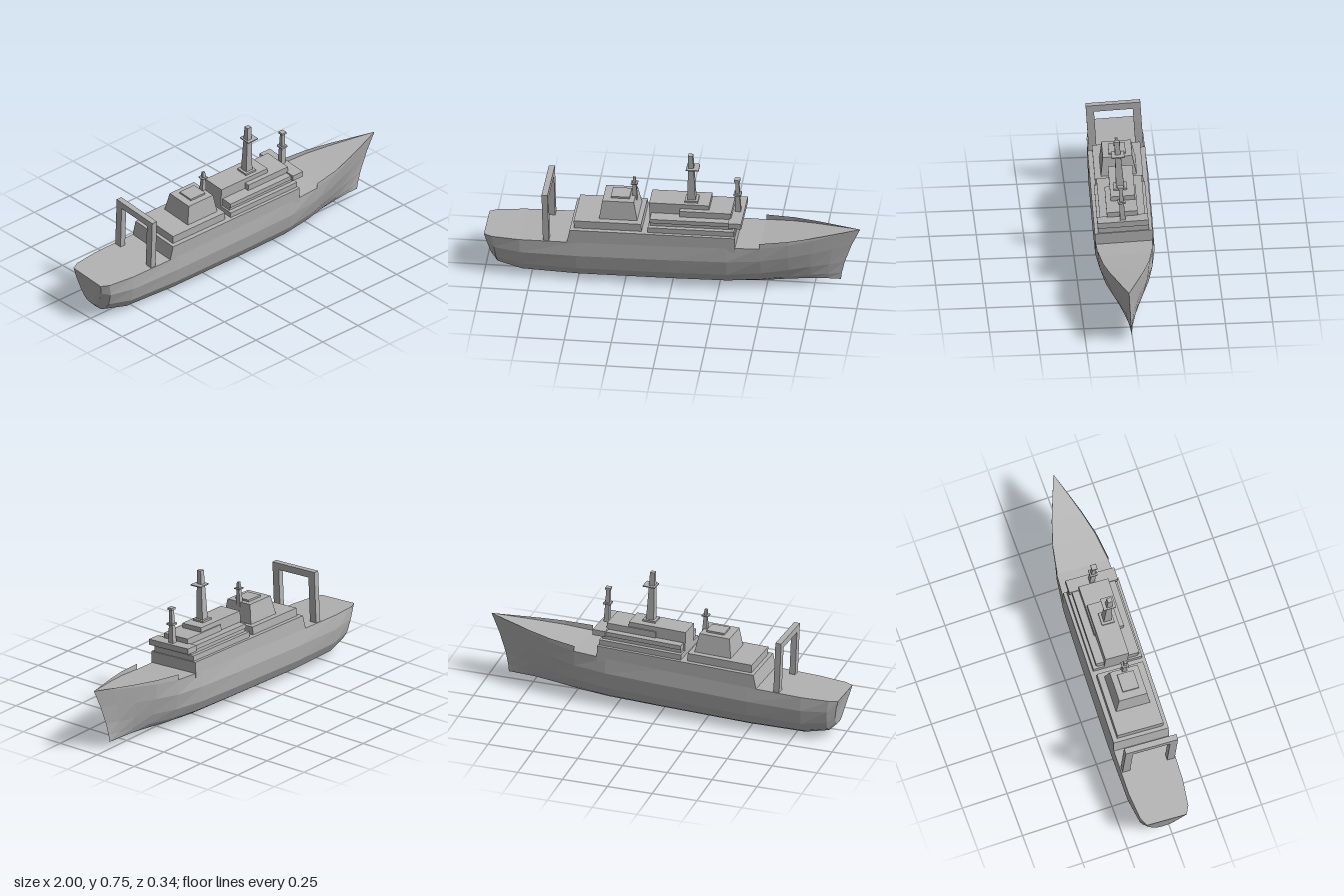
import * as THREE from 'three';

const grey = new THREE.MeshStandardMaterial({ color: 0xb2b2b2, flatShading: true, side: THREE.DoubleSide });
grey.name = 'hull grey';

// Hull stations: x at deck, x at keel, keel y, deck y, lower width scale, upper width scale
const STATIONS = [
  [-0.995, -0.965, 0.075, 0.25, 0.45, 0.72],
  [-0.95, -0.93, 0.038, 0.25, 0.7, 0.87],
  [-0.8, -0.8, 0.008, 0.25, 0.9, 0.98],
  [-0.5, -0.5, 0, 0.252, 1, 1],
  [0, 0, 0, 0.258, 1, 1],
  [0.3, 0.3, 0, 0.264, 0.95, 1],
  [0.48, 0.48, 0.003, 0.267, 0.7, 0.94],
  [0.63, 0.62, 0.008, 0.282, 0.42, 0.79],
  [0.76, 0.73, 0.01, 0.297, 0.22, 0.55],
  [0.88, 0.82, 0.01, 0.312, 0.09, 0.28],
  [1.0, 0.89, 0.01, 0.328, 0, 0],
];
// Midship half section: half breadth, height fraction
const SECTION = [[0, 0], [0.065, 0.02], [0.11, 0.12], [0.145, 0.34], [0.16, 0.68], [0.153, 1]];

function stationRing([xd, xk, yk, yd, low, high]) {
  const half = SECTION.map(([b, t]) => [
    xk + (xd - xk) * t ** 1.5,
    yk + (yd - yk) * t,
    b * (low + (high - low) * t),
  ]);
  const port = half.slice(1).map(([x, y, z]) => [x, y, -z]);
  return [...half.reverse(), ...port];
}

function meshFrom(points, index, name) {
  const g = new THREE.BufferGeometry();
  g.setAttribute('position', new THREE.Float32BufferAttribute(points.flat(), 3));
  g.setIndex(index);
  g.computeVertexNormals();
  const mesh = new THREE.Mesh(g, grey);
  mesh.name = name;
  return mesh;
}

// Lofted hull, closed by its deck and transom
function hull() {
  const rings = STATIONS.map(stationRing);
  const n = rings[0].length;
  const index = [];
  for (let i = 0; i < rings.length - 1; i++) {
    for (let j = 0; j < n; j++) {
      const k = (j + 1) % n;
      const a = i * n + j, b = a + n, d = i * n + k, c = d + n;
      index.push(a, d, b, d, c, b);
    }
  }
  for (let j = 1; j < n - 1; j++) index.push(0, j + 1, j);
  return meshFrom(rings.flat(), index, 'hull');
}

// Raised plating along one side of the bow, tapering to the tip
function bulwark(side) {
  const points = [], index = [];
  STATIONS.slice(6).forEach(([x, , , y, , w], i, all) => {
    const z = side * 0.153 * w;
    points.push([x, y, z], [x, y + 0.03 * (1 - i / (all.length - 1)), z]);
    if (i) index.push(2 * i - 2, 2 * i, 2 * i - 1, 2 * i, 2 * i + 1, 2 * i - 1);
  });
  return meshFrom(points, index, side > 0 ? 'bulwarkFront' : 'bulwarkBack');
}

// Box given by its x, y and z ranges, with the top scaled for a taper
function block(name, [x0, x1], [y0, y1], [z0, z1], taperX = 1, taperZ = taperX) {
  const g = new THREE.BoxGeometry(x1 - x0, y1 - y0, z1 - z0);
  const p = g.attributes.position;
  for (let i = 0; i < p.count; i++) {
    if (p.getY(i) > 0) p.setXYZ(i, p.getX(i) * taperX, p.getY(i), p.getZ(i) * taperZ);
  }
  g.computeVertexNormals();
  const mesh = new THREE.Mesh(g, grey);
  mesh.position.set((x0 + x1) / 2, (y0 + y1) / 2, (z0 + z1) / 2);
  mesh.name = name;
  return mesh;
}

// Tapered square mast with flat platforms: [height, half width, thickness, x shift]
function mast(name, x, y0, y1, r, taper, platforms) {
  const group = new THREE.Group();
  group.name = name;
  group.add(block('pole', [x - r, x + r], [y0, y1], [-r, r], taper));
  for (const [y, h, t, dx = 0] of platforms) {
    group.add(block('platform', [x + dx - h, x + dx + h], [y - t / 2, y + t / 2], [-h, h]));
  }
  return group;
}

// Flat outline in x and y, extruded across the ship
function midBlock() {
  const s = new THREE.Shape();
  s.moveTo(-0.55, 0.24);
  s.lineTo(0.35, 0.24);
  s.lineTo(0.35, 0.328);
  s.lineTo(-0.53, 0.328);
  const g = new THREE.ExtrudeGeometry(s, { depth: 0.306, bevelEnabled: false });
  const mesh = new THREE.Mesh(g.translate(0, 0, -0.153), grey);
  mesh.name = 'mainDeckhouse';
  return mesh;
}

// Lifting frame over the aft deck
function sternFrame() {
  const s = new THREE.Shape();
  [[-0.145, 0.24], [-0.103, 0.24], [-0.103, 0.498], [0.103, 0.498],
    [0.103, 0.24], [0.145, 0.24], [0.145, 0.535], [-0.145, 0.535]]
    .forEach(([z, y], i) => (i ? s.lineTo(z, y) : s.moveTo(z, y)));
  const g = new THREE.ExtrudeGeometry(s, { depth: 0.032, bevelEnabled: false });
  g.rotateY(Math.PI / 2).translate(-0.675, 0, 0);
  const mesh = new THREE.Mesh(g, grey);
  mesh.name = 'sternFrame';
  return mesh;
}

export function createModel() {
  const ship = new THREE.Group();
  ship.name = 'ship';
  ship.add(hull(), bulwark(1), bulwark(-1), midBlock(), sternFrame());

  // Aft house and funnel
  ship.add(
    block('aftHouse', [-0.51, -0.15], [0.32, 0.372], [-0.128, 0.128]),
    block('funnel', [-0.38, -0.175], [0.37, 0.475], [-0.095, 0.095], 0.82),
    block('funnelCap', [-0.32, -0.22], [0.475, 0.485], [-0.045, 0.045]),
  );

  // Forward house, bridge and upper decks
  ship.add(
    block('forwardHouse', [-0.115, 0.345], [0.32, 0.358], [-0.135, 0.135]),
    block('bridgeBase', [-0.105, 0.335], [0.355, 0.385], [-0.112, 0.112]),
    block('bridgeDeck', [-0.105, 0.35], [0.378, 0.402], [-0.12, 0.12]),
    block('bridgeWings', [0.315, 0.385], [0.378, 0.41], [-0.135, 0.135]),
    block('upperHouse', [0.05, 0.325], [0.4, 0.437], [-0.082, 0.082]),
    block('centreHouse', [-0.115, 0.205], [0.35, 0.463], [-0.075, 0.055]),
  );

  // Masts
  ship.add(
    mast('mainMast', 0.107, 0.45, 0.743, 0.022, 0.58, [[0.463, 0.035, 0.02], [0.665, 0.034, 0.006, 0.01]]),
    mast('foreMast', 0.352, 0.405, 0.602, 0.015, 0.6, [[0.515, 0.02, 0.01], [0.6, 0.015, 0.012]]),
    mast('aftMast', -0.198, 0.45, 0.585, 0.014, 0.5, [[0.55, 0.018, 0.006]]),
  );

  // Slight heel, trim and yaw
  ship.rotation.set(0.06, -0.025, 0.02);
  ship.position.set(0, 0.012, -0.018);

  const model = new THREE.Group();
  model.add(ship);
  return model;
}
